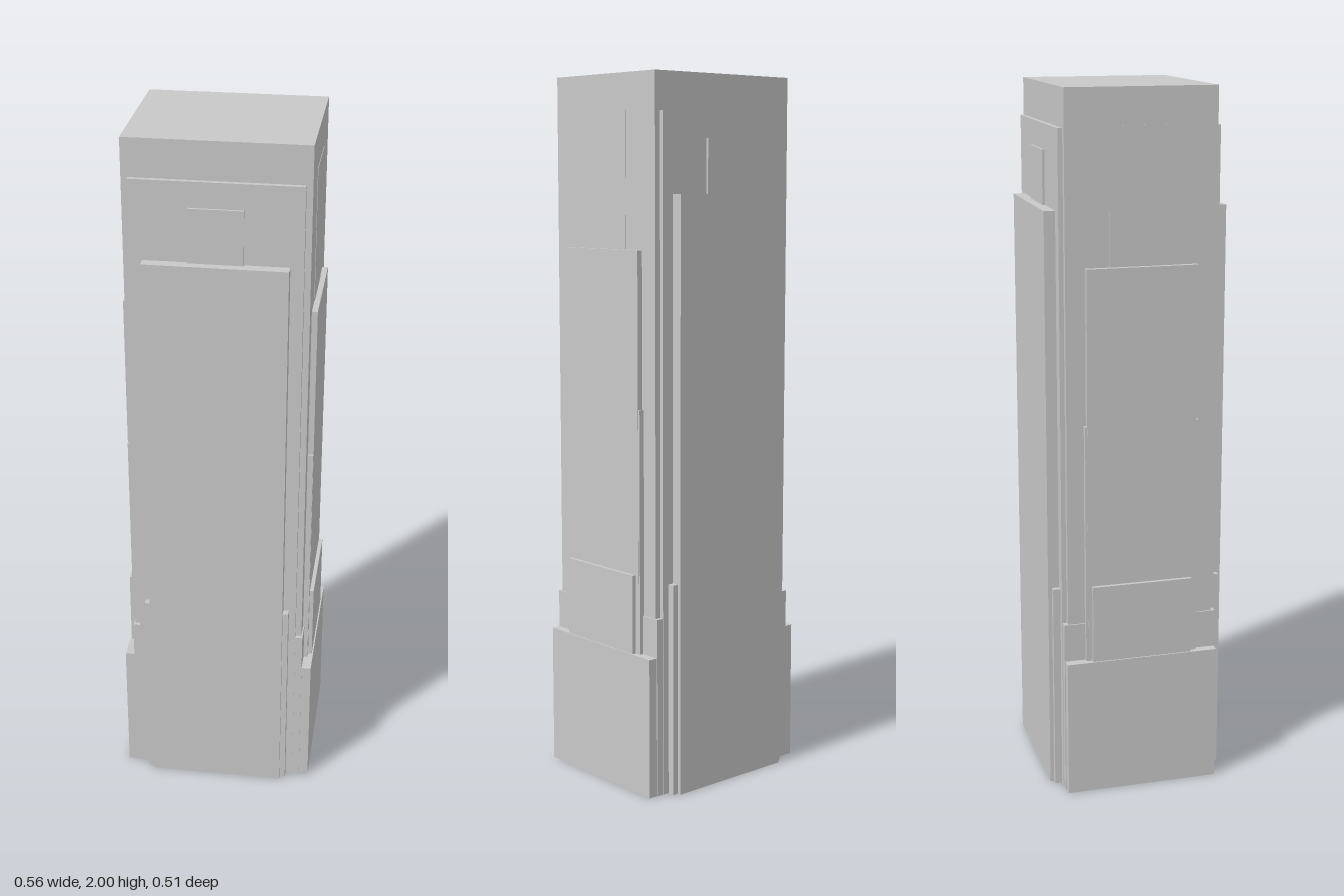
import * as THREE from 'three';

export function createModel() {
  const group = new THREE.Group();
  group.name = 'tower';
  const stone = new THREE.MeshStandardMaterial({ color: 0xc8c8c8 });
  stone.name = 'light grey stone';

  // Every part is a centred block standing on the ground: half width, half depth, height
  const block = (name, halfX, halfZ, height) => {
    const mesh = new THREE.Mesh(new THREE.BoxGeometry(halfX * 2, height, halfZ * 2), stone);
    mesh.name = name;
    mesh.position.y = height / 2;
    group.add(mesh);
  };

  // Main shaft and its stepped foot
  block('shaft', 0.248, 0.212, 2);
  block('base', 0.279, 0.221, 0.4);
  block('cornerPlinth', 0.252, 0.2235, 0.51);

  // Layers showing on the front and back
  block('frontBackPanel', 0.231, 0.225, 1.895);
  block('frontBackUpperPlate', 0.074, 0.232, 1.825);
  block('frontBackSlab', 0.195, 0.2565, 1.675);
  block('frontBackButtress', 0.211, 0.2455, 0.605);

  // Layers showing on the two sides
  block('sideThinPlate', 0.2492, 0.09, 1.9);
  block('sideSlab', 0.264, 0.157, 1.525);
  block('sideSlabLower', 0.2635, 0.163, 1.09);
  block('sideButtress', 0.275, 0.145, 0.625);

  return group;
}
